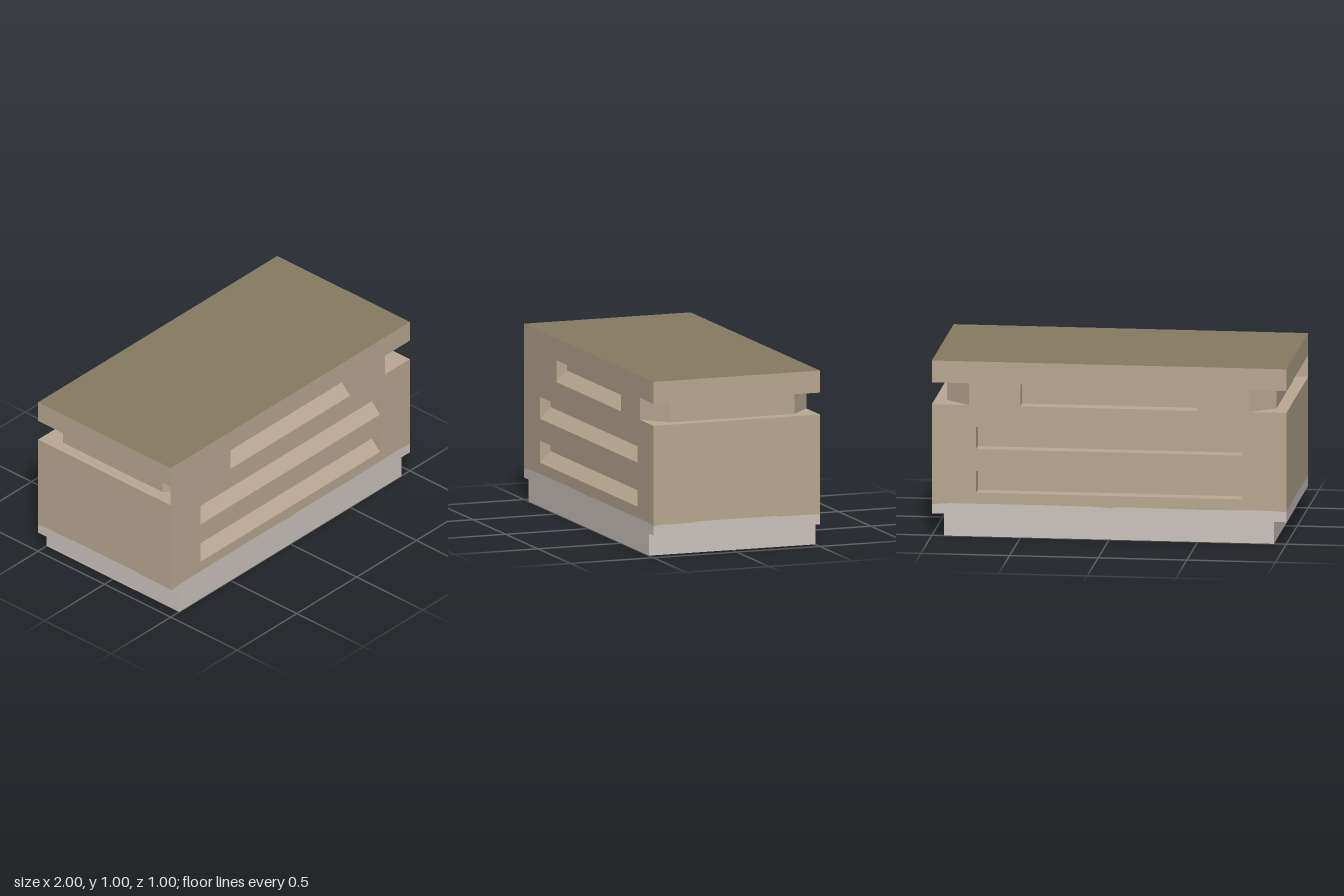
import * as THREE from 'three';

const flat = (name, color) =>
  new THREE.MeshStandardMaterial({ name, color, side: THREE.DoubleSide });

// One mesh from a list of four-cornered faces, corners anticlockwise
function faces(name, material, quads) {
  const pos = quads.flatMap(([a, b, c, d]) => [a, b, c, a, c, d].flat());
  const geo = new THREE.BufferGeometry();
  geo.setAttribute('position', new THREE.Float32BufferAttribute(pos, 3));
  geo.computeVertexNormals();
  const mesh = new THREE.Mesh(geo, material);
  mesh.name = name;
  return mesh;
}

// Flat panel drawn in x, y, pushed out along its own facing direction
function panel(name, material, outline, offset, holes = []) {
  const shape = new THREE.Shape(outline.map(p => new THREE.Vector2(...p)));
  for (const h of holes) shape.holes.push(new THREE.Path(h.map(p => new THREE.Vector2(...p))));
  const mesh = new THREE.Mesh(new THREE.ShapeGeometry(shape), material);
  mesh.position.z = offset;
  mesh.name = name;
  return mesh;
}

// Recess: flat or sloping floor, back wall, ceiling and two ends
function slot(name, material, [w, y0, y1], depth, rise) {
  const z = 0.5, zb = z - depth, yb = y0 + rise;
  return faces(name, material, [
    [[-w, y0, z], [w, y0, z], [w, yb, zb], [-w, yb, zb]],
    [[-w, yb, zb], [w, yb, zb], [w, y1, zb], [-w, y1, zb]],
    [[-w, y1, zb], [w, y1, zb], [w, y1, z], [-w, y1, z]],
    [[-w, y0, z], [-w, yb, zb], [-w, y1, zb], [-w, y1, z]],
    [[w, y1, z], [w, y1, zb], [w, yb, zb], [w, y0, z]],
  ]);
}

export function createModel() {
  const tan = flat('tan wall', 0xb8a791);
  const grey = flat('grey base', 0xcbc3bd);
  const olive = flat('olive cap', 0x857b61);

  const model = new THREE.Group();
  const STEP_X = 0.93, STEP_Y = 0.125, LOW = 0.75, HIGH = 0.875, CUT = 0.79;
  const slots = [[0.5, 0.75, 0.875], [0.75, 0.5, 0.625], [0.75, 0.25, 0.375]];

  // Slightly uneven line between wall and base
  const longLine = [[-1, 0.178], [-0.9, 0.186], [-0.4, 0.188], [-0.1, 0.186],
    [0, 0.182], [0.1, 0.187], [0.5, 0.184], [0.9, 0.188], [1, 0.182]];
  const endLine = [[-0.5, 0.178], [-0.46, 0.184], [-0.25, 0.184], [-0.24, 0.19],
    [0.24, 0.19], [0.25, 0.186], [0.5, 0.184]];

  // Front and back: slotted wall, base and recesses
  function longSide(name, notchLeft, depth, rise) {
    const g = new THREE.Group();
    g.name = name;
    const right = [[1, LOW], [CUT, LOW], [CUT, HIGH], [1, HIGH], [1, 1]];
    const left = notchLeft
      ? [[-1, 1], [-1, HIGH], [-CUT, HIGH], [-CUT, LOW], [-1, LOW]]
      : [[-1, 1]];
    const holes = slots.map(([w, a, b]) => [[-w, a], [-w, b], [w, b], [w, a]]);
    g.add(panel(name + 'Wall', tan, [...longLine, ...right, ...left], 0.5, holes));
    g.add(panel(name + 'Base', grey, [[-1, STEP_Y], [-STEP_X, STEP_Y], [-STEP_X, 0],
      [STEP_X, 0], [STEP_X, STEP_Y], [1, STEP_Y], ...[...longLine].reverse()], 0.5));
    slots.forEach((s, i) => g.add(slot(name + 'Slot' + (i + 1), tan, s, depth, rise)));
    return g;
  }
  const back = longSide('back', true, 0.08, 0);
  back.rotation.y = Math.PI;
  model.add(longSide('front', false, 0.0625, 0.0625), back);

  // Ends: wall, grip groove with angled corners, base and bottom step
  const plan = [[CUT, 0.5], [STEP_X, 0.375], [STEP_X, -0.375], [CUT, -0.5]];
  for (const [name, turn] of [['leftEnd', 0], ['rightEnd', Math.PI]]) {
    const g = new THREE.Group();
    g.name = name;
    const flatPart = new THREE.Group();
    flatPart.name = name + 'Panels';
    flatPart.rotation.y = Math.PI / 2;
    flatPart.add(
      panel(name + 'Wall', tan, [...endLine, [0.5, LOW], [-0.5, LOW]], 1),
      panel(name + 'TopRail', tan, [[-0.5, HIGH], [0.5, HIGH], [0.5, 1], [-0.5, 1]], 1),
      panel(name + 'Base', grey, [[-0.5, STEP_Y], [0.5, STEP_Y], ...[...endLine].reverse()], 1));
    g.add(flatPart);

    const groove = [];
    for (let i = 0; i < 3; i++) {
      const [x0, z0] = plan[i], [x1, z1] = plan[i + 1];
      groove.push(
        [[x0, LOW, z0], [x1, LOW, z1], [x1, HIGH, z1], [x0, HIGH, z0]],
        [[x0, LOW, z0], [1, LOW, z0], [1, LOW, z1], [x1, LOW, z1]],
        [[x1, HIGH, z1], [1, HIGH, z1], [1, HIGH, z0], [x0, HIGH, z0]]);
    }
    g.add(faces(name + 'Groove', tan, groove));

    g.add(faces(name + 'Step', grey, [
      [[STEP_X, 0, 0.5], [STEP_X, 0, -0.5], [STEP_X, STEP_Y, -0.5], [STEP_X, STEP_Y, 0.5]],
      [[STEP_X, STEP_Y, -0.5], [1, STEP_Y, -0.5], [1, STEP_Y, 0.5], [STEP_X, STEP_Y, 0.5]],
    ]));
    g.rotation.y = turn;
    model.add(g);
  }

  // Top and underside
  model.add(
    faces('top', olive, [[[-1, 1, 0.5], [1, 1, 0.5], [1, 1, -0.5], [-1, 1, -0.5]]]),
    faces('underside', olive, [[[-STEP_X, 0, -0.5], [STEP_X, 0, -0.5],
      [STEP_X, 0, 0.5], [-STEP_X, 0, 0.5]]]));
  return model;
}
